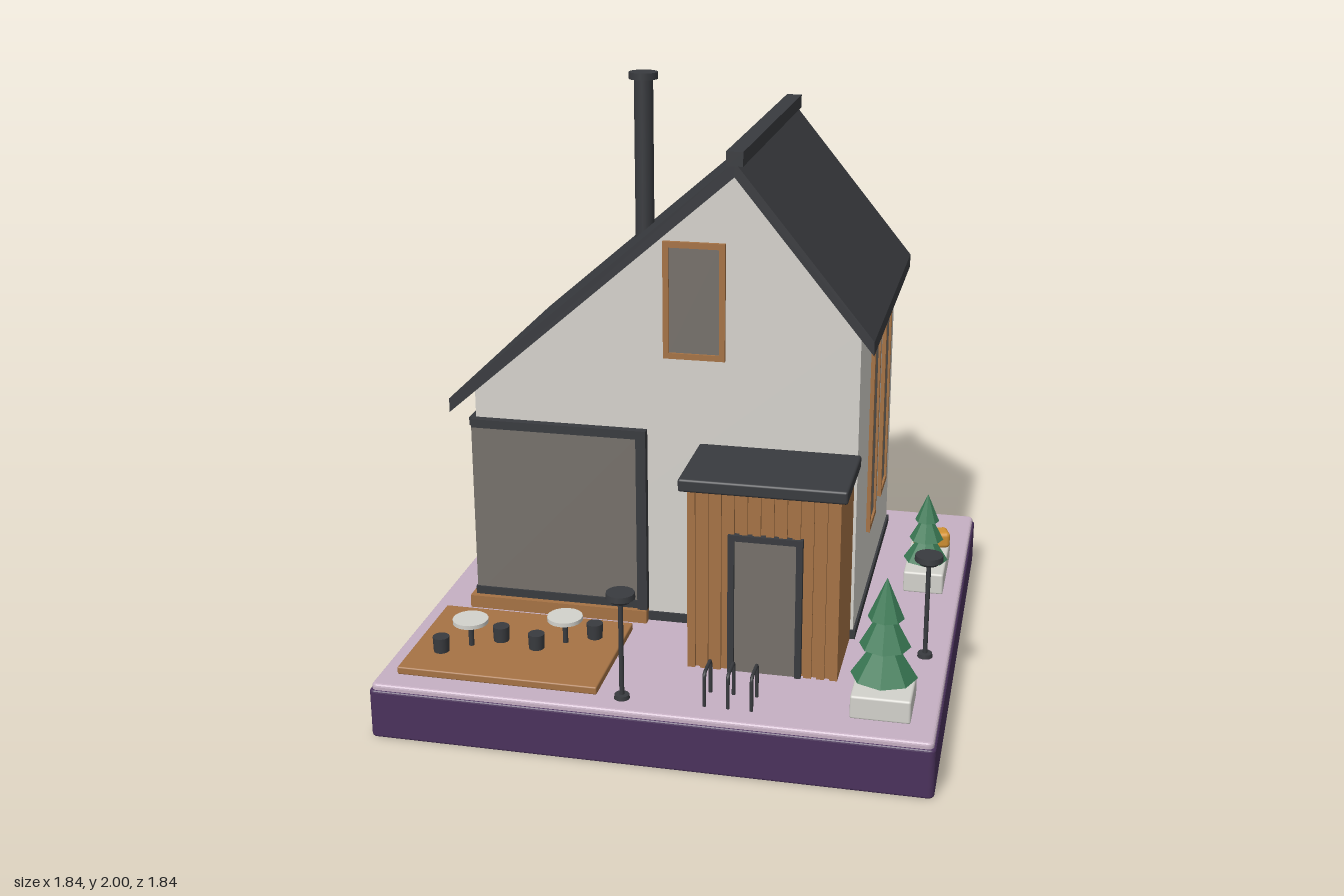
import * as THREE from 'three';
import { RoundedBoxGeometry } from 'three/addons/geometries/RoundedBoxGeometry.js';

const mat = (color, flatShading = false) => new THREE.MeshStandardMaterial({ color, flatShading });
const M = {
  base: mat(0x4b325c), paving: mat(0xc6b0c3), wall: mat(0xd6d3cd), dark: mat(0x393b3f),
  wood: mat(0xa67345), glass: mat(0x76716b), pale: mat(0xd3d2cc),
  leaf: mat(0x3a7a55, true), trunk: mat(0x8a5a34), orange: mat(0xd39232),
};

export function createModel() {
  const root = new THREE.Group();

  const add = (name, geometry, material, x = 0, y = 0, z = 0, parent = root) => {
    const mesh = new THREE.Mesh(geometry, material);
    mesh.name = name;
    mesh.position.set(x, y, z);
    parent.add(mesh);
    return mesh;
  };
  const group = (name, x = 0, y = 0, z = 0) => {
    const g = new THREE.Group();
    g.name = name;
    g.position.set(x, y, z);
    root.add(g);
    return g;
  };
  // box given by its limits on each axis
  const box = (name, material, x0, x1, y0, y1, z0, z1, parent = root) =>
    add(name, new THREE.BoxGeometry(x1 - x0, y1 - y0, z1 - z0), material,
      (x0 + x1) / 2, (y0 + y1) / 2, (z0 + z1) / 2, parent);
  // upright cylinder standing on y0
  const post = (name, material, r0, r1, y0, y1, x, z, parent = root, sides = 16) =>
    add(name, new THREE.CylinderGeometry(r1, r0, y1 - y0, sides), material, x, (y0 + y1) / 2, z, parent);
  // outline in x/y extruded from z0 to z1
  const prism = (name, material, points, z0, z1) =>
    add(name, new THREE.ExtrudeGeometry(new THREE.Shape(points.map(p => new THREE.Vector2(...p))),
      { depth: z1 - z0, bevelEnabled: false }), material, 0, 0, z0);

  // Ground: hollow skirt and paving slab
  const roundedSquare = (Type, h, r) => {
    const s = new Type();
    s.absarc(h - r, h - r, r, 0, Math.PI / 2);
    s.absarc(r - h, h - r, r, Math.PI / 2, Math.PI);
    s.absarc(r - h, r - h, r, Math.PI, Math.PI * 1.5);
    s.absarc(h - r, r - h, r, Math.PI * 1.5, Math.PI * 2);
    s.closePath();
    return s;
  };
  const slab = (name, material, shape, y0, y1, bevel) => {
    const g = new THREE.ExtrudeGeometry(shape, {
      depth: y1 - y0 - 2 * bevel, bevelThickness: bevel, bevelSize: bevel,
      bevelOffset: -bevel, bevelSegments: 3, curveSegments: 5,
    });
    g.rotateX(-Math.PI / 2);
    add(name, g, material, 0, y0 + bevel, 0);
  };
  const skirt = roundedSquare(THREE.Shape, 0.922, 0.02);
  skirt.holes.push(roundedSquare(THREE.Path, 0.895, 0.01));
  slab('baseSkirt', M.base, skirt, 0, 0.17, 0.008);
  slab('paving', M.paving, roundedSquare(THREE.Shape, 0.915, 0.02), 0.155, 0.19, 0.01);

  // House shell and asymmetric roof
  prism('houseWalls', M.wall,
    [[-0.75, 0.19], [0.58, 0.19], [0.58, 1.29], [0.17, 1.793], [-0.75, 0.995]], -0.775, 0.26);
  box('plinth', M.dark, -0.758, 0.588, 0.19, 0.222, -0.783, 0.268);
  prism('roof', M.dark,
    [[-0.82, 0.935], [0.17, 1.793], [0.63, 1.23], [0.63, 1.278], [0.17, 1.842], [-0.82, 0.984]], -0.845, 0.328);
  box('ridgeCap', M.dark, 0.142, 0.198, 1.828, 1.875, -0.846, 0.329);
  post('chimney', M.dark, 0.035, 0.035, 1.33, 1.98, -0.32, -0.46, root, 24);
  post('chimneyCap', M.dark, 0.053, 0.053, 1.975, 2, -0.32, -0.46, root, 24);

  // Wood-framed windows
  const windowUnit = (name, w, h, x, y, z, turn, frame = 0.02) => {
    const g = group(name, x, y, z);
    g.rotation.y = turn;
    for (const s of [-1, 1]) {
      const cx = s * (w - frame) / 2, cy = s * (h - frame) / 2;
      box('frameSide', M.wood, cx - frame / 2, cx + frame / 2, -h / 2, h / 2, -0.012, 0.014, g);
      box('frameRail', M.wood, frame - w / 2, w / 2 - frame, cy - frame / 2, cy + frame / 2, -0.012, 0.014, g);
    }
    box('pane', M.glass, frame - w / 2, w / 2 - frame, frame - h / 2, h / 2 - frame, -0.01, 0.006, g);
  };
  windowUnit('frontLoftWindow', 0.21, 0.4, 0.025, 1.36, 0.26, 0);
  for (const z of [-0.142, -0.488]) windowUnit('tallSideWindow', 0.187, 0.785, 0.58, 0.848, z, Math.PI / 2);
  for (const x of [0.335, -0.475]) windowUnit('backWindow', 0.27, 0.35, x, 0.605, -0.775, Math.PI);
  windowUnit('backLoftWindow', 0.27, 0.34, -0.1, 1.26, -0.775, Math.PI);
  windowUnit('smallSideWindow', 0.25, 0.37, -0.75, 0.625, -0.575, -Math.PI / 2);

  // Corner glazing wrapping front and side
  const corner = group('cornerGlazing');
  box('cornerGlass', M.glass, -0.765, -0.17, 0.235, 0.875, -0.3, 0.274, corner);
  box('cornerHead', M.dark, -0.76, -0.14, 0.87, 0.9, 0.24, 0.29, corner);
  box('cornerHeadSide', M.dark, -0.772, -0.74, 0.87, 0.9, -0.315, 0.27, corner);
  box('cornerPostFront', M.dark, -0.175, -0.14, 0.222, 0.87, 0.24, 0.29, corner);
  box('cornerPostSide', M.dark, -0.775, -0.74, 0.222, 0.87, -0.32, -0.295, corner);
  box('cornerFoot', M.dark, -0.769, -0.17, 0.235, 0.265, -0.3, 0.28, corner);
  box('cornerSill', M.wood, -0.785, -0.14, 0.19, 0.236, -0.32, 0.3, corner);

  // Entrance porch with slats and door
  const porch = group('porch');
  box('porchBody', M.wood, 0.068, 0.57, 0.19, 0.83, 0.25, 0.568, porch);
  add('porchRoof', new RoundedBoxGeometry(0.55, 0.044, 0.34, 2, 0.008), M.dark, 0.317, 0.842, 0.43, porch);
  for (let i = 0; i < 12; i++) {
    const x = 0.082 + i * 0.0432;
    const overDoor = x > 0.195 && x < 0.46;
    box('slat', M.wood, x - 0.013, x + 0.013, overDoor ? 0.68 : 0.19, 0.825, 0.56, 0.58, porch);
  }
  box('doorGlass', M.glass, 0.22, 0.435, 0.19, 0.665, 0.56, 0.579, porch);
  box('doorPost', M.dark, 0.205, 0.226, 0.19, 0.68, 0.56, 0.59, porch);
  box('doorPost', M.dark, 0.429, 0.45, 0.19, 0.68, 0.56, 0.59, porch);
  box('doorHead', M.dark, 0.226, 0.429, 0.66, 0.68, 0.56, 0.59, porch);

  // Deck with tables and stools
  add('deck', new RoundedBoxGeometry(0.68, 0.027, 0.478, 2, 0.005), M.wood, -0.515, 0.202, 0.592);
  for (const [x, z] of [[-0.667, 0.628], [-0.362, 0.543]]) {
    const table = group('table', x, 0, z);
    post('tableTop', M.pale, 0.06, 0.06, 0.3, 0.314, 0, 0, table, 24);
    post('tableLeg', M.dark, 0.009, 0.009, 0.21, 0.3, 0, 0, table);
  }
  for (const [x, z] of [[-0.752, 0.688], [-0.58, 0.572], [-0.446, 0.602], [-0.275, 0.485]])
    post('stool', M.dark, 0.026, 0.028, 0.21, 0.268, x, z);

  // Street lamps
  for (const [x, z] of [[-0.09, 0.832], [0.835, 0.342]]) {
    const lamp = group('lamp', x, 0, z);
    post('lampFoot', M.dark, 0.026, 0.024, 0.188, 0.204, 0, 0, lamp);
    post('lampPole', M.dark, 0.008, 0.008, 0.2, 0.535, 0, 0, lamp, 10);
    post('lampShade', M.dark, 0.032, 0.04, 0.53, 0.543, 0, 0, lamp);
    post('lampCap', M.dark, 0.048, 0.046, 0.543, 0.562, 0, 0, lamp);
  }

  // Cycle stands
  const hoop = new THREE.CurvePath();
  const v = (y, z) => new THREE.Vector3(0, y, z);
  hoop.add(new THREE.LineCurve3(v(0.185, 0.735), v(0.29, 0.735)));
  hoop.add(new THREE.QuadraticBezierCurve3(v(0.29, 0.735), v(0.307, 0.735), v(0.307, 0.752)));
  hoop.add(new THREE.LineCurve3(v(0.307, 0.752), v(0.307, 0.813)));
  hoop.add(new THREE.QuadraticBezierCurve3(v(0.307, 0.813), v(0.307, 0.83), v(0.29, 0.83)));
  hoop.add(new THREE.LineCurve3(v(0.29, 0.83), v(0.185, 0.83)));
  for (const x of [0.18, 0.256, 0.332])
    add('cycleStand', new THREE.TubeGeometry(hoop, 48, 0.006, 8), M.dark, x);

  // Planters, trees and pumpkins
  const tree = (x, z, s) => {
    const g = group('tree', x, 0.26, z);
    g.scale.setScalar(s);
    post('treeTrunk', M.trunk, 0.018, 0.016, 0, 0.08, 0, 0, g, 8);
    [[0.107, 0.045, 0.21], [0.082, 0.15, 0.3], [0.058, 0.245, 0.38]].forEach(([r, y0, y1]) =>
      add('foliage', new THREE.ConeGeometry(r, y1 - y0, 8), M.leaf, 0, (y0 + y1) / 2, 0, g));
  };
  add('frontPlanter', new RoundedBoxGeometry(0.192, 0.08, 0.195, 2, 0.008), M.pale, 0.736, 0.227, 0.712);
  add('sidePlanter', new RoundedBoxGeometry(0.144, 0.08, 0.342, 2, 0.008), M.pale, 0.782, 0.227, -0.324);
  tree(0.736, 0.718, 1);
  tree(0.782, -0.232, 0.75);
  for (const [x, z, s, turn] of [[0.75, -0.412, 0.058, 0.25], [0.814, -0.428, 0.074, 0.3]])
    add('pumpkin', new RoundedBoxGeometry(s, 0.062, s, 3, 0.016), M.orange, x, 0.294, z).rotation.y = turn;

  return root;
}
